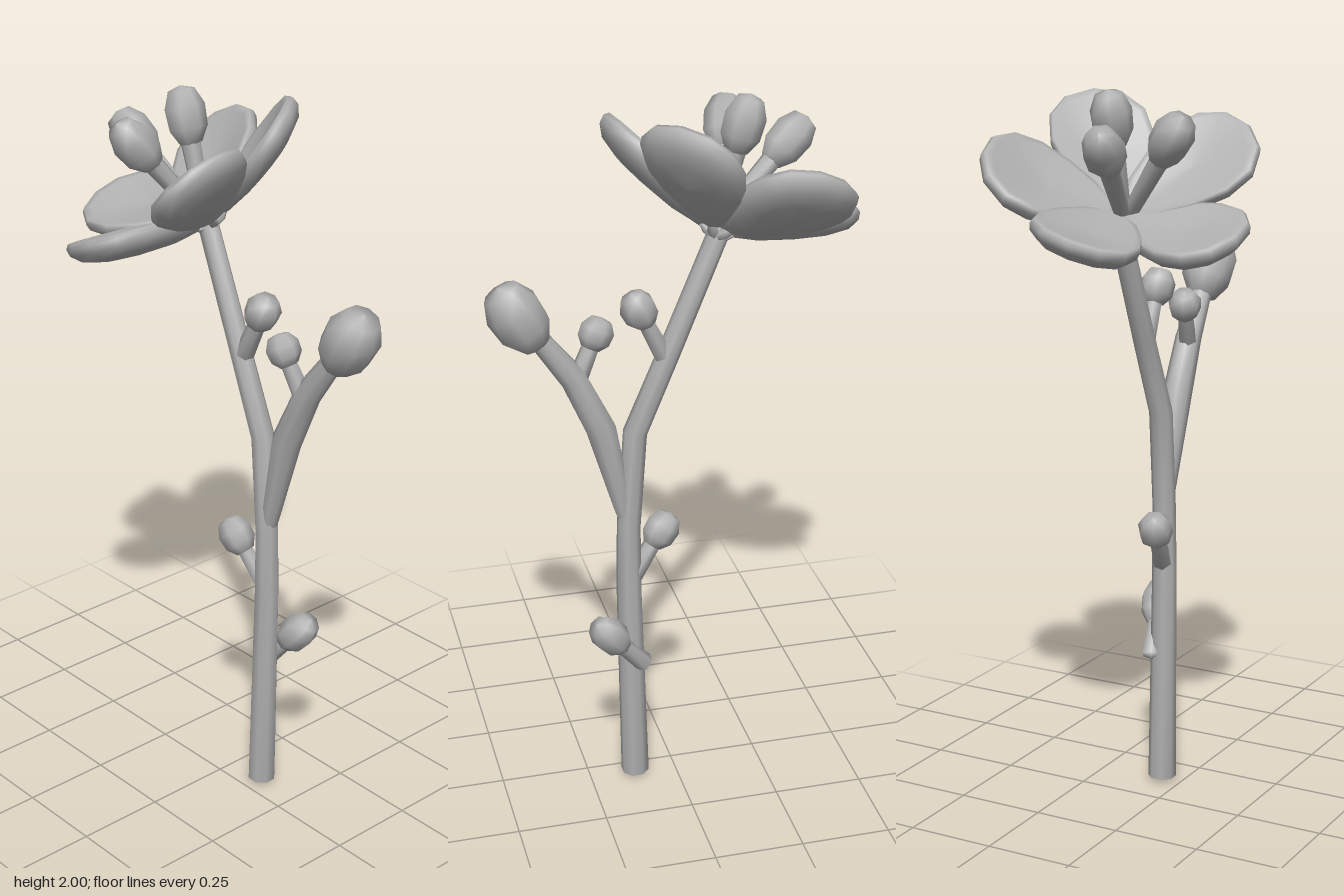
import * as THREE from 'three';

const V = (x, y, z) => new THREE.Vector3(x, y, z);

// Closed smooth surface from rows of points, each row wrapped around
function wrapRows(rows) {
  const n = rows[0].length, pos = [], idx = [];
  rows.forEach(r => r.forEach(p => pos.push(p.x, p.y, p.z)));
  for (let i = 0; i < rows.length - 1; i++) {
    for (let j = 0; j < n; j++) {
      const k = (j + 1) % n, a = i * n + j, b = i * n + k, c = a + n, d = b + n;
      idx.push(a, b, d, a, d, c);
    }
  }
  const g = new THREE.BufferGeometry();
  g.setAttribute('position', new THREE.Float32BufferAttribute(pos, 3));
  g.setIndex(idx);
  g.computeVertexNormals();
  return g;
}

// Round section carried along a bent path, with one radius per point
function loft(pts, radii, sides = 8) {
  const rows = pts.map((p, i) => {
    const t = pts[Math.min(i + 1, pts.length - 1)].clone().sub(pts[Math.max(i - 1, 0)]).normalize();
    const v = V(1, 0, 0).cross(t).normalize();
    const u = t.clone().cross(v);
    return Array.from({ length: sides }, (_, j) => {
      const a = (j + 0.5) / sides * Math.PI * 2;
      return p.clone().addScaledVector(u, -Math.cos(a) * radii[i]).addScaledVector(v, Math.sin(a) * radii[i]);
    });
  });
  return wrapRows(rows);
}

// Egg shaped head centred on c, stretched along dir
function egg(c, dir, half, r, sides = 8) {
  const d = dir.clone().normalize();
  const s = [-1, -0.9, -0.4, 0.3, 0.85, 1];
  const w = [0.001, 0.55, 0.95, 1, 0.66, 0.001];
  return loft(s.map(k => c.clone().addScaledVector(d, k * half)), w.map(k => k * r), sides);
}

// Broad petal: rounded rim, convex outside, nearly flat inside
function petal(base, dir, up) {
  const L = dir.length(), d = dir.clone().normalize();
  const n = up.clone().addScaledVector(d, -up.dot(d)).normalize();
  const s = d.clone().cross(n);
  const N = 14, W = 0.188;
  // [scale of the outline, height]
  const rings = [[0.001, -0.052], [0.5, -0.047], [0.82, -0.034], [0.97, -0.012],
    [1, 0.008], [0.96, 0.021], [0.85, 0.021], [0.5, 0.008], [0.001, 0.003]];
  return wrapRows(rings.map(([k, h]) => Array.from({ length: N }, (_, j) => {
    const a = j / N * Math.PI * 2, c = Math.cos(a);
    const along = L * (0.55 - 0.5 * c * k - 0.05 * k);
    const across = W * Math.sin(a) * (0.71 - 0.3 * c) * k;
    return base.clone().addScaledVector(d, along).addScaledVector(s, across).addScaledVector(n, h);
  })));
}

export function createModel() {
  const group = new THREE.Group();
  const grey = new THREE.MeshStandardMaterial({ color: 0xb0b0b0 });
  grey.name = 'plainGrey';
  const add = (name, geo) => {
    const m = new THREE.Mesh(geo, grey);
    m.name = name;
    group.add(m);
  };

  // Main stem, bending left up to the flower
  add('stem', loft(
    [V(0.12, 0, -0.055), V(0.12, 0.015, -0.055), V(0.133, 0.62, -0.055), V(0.132, 0.82, -0.055),
      V(0.112, 1.1, -0.055), V(0.02, 1.32, -0.057), V(-0.115, 1.65, -0.058), V(-0.125, 1.675, -0.058)],
    [0.001, 0.04, 0.035, 0.033, 0.033, 0.031, 0.029, 0.001]));

  // Side branch with the large closed bud
  add('branch', loft(
    [V(0.13, 0.78, -0.055), V(0.145, 0.87, -0.055), V(0.205, 1.12, -0.056), V(0.28, 1.28, -0.058), V(0.39, 1.43, -0.062)],
    [0.008, 0.026, 0.042, 0.037, 0.027]));
  add('largeBud', egg(V(0.42, 1.465, -0.064), V(0.5, 0.85, 0), 0.1, 0.075, 9));

  // Small buds: [stalk start, head centre, head half length, head radius]
  const buds = [
    [V(0.03, 1.31, -0.057), V(0.1, 1.453, -0.06), 0.053, 0.049],
    [V(0.275, 1.25, -0.055), V(0.21, 1.387, -0.033), 0.046, 0.047],
    [V(0.125, 0.655, -0.055), V(0.035, 0.78, -0.03), 0.055, 0.049],
    [V(0.09, 0.38, -0.075), V(0.2, 0.51, -0.112), 0.068, 0.05],
  ];
  buds.forEach(([from, to, half, r]) => {
    add('budStalk', loft([from, from.clone().lerp(to, 0.05), to], [0.001, 0.028, 0.022], 6));
    add('smallBud', egg(to, to.clone().sub(from), half, r, 7));
  });

  // Flower: five petals around a tilted cup
  const base = V(-0.115, 1.665, -0.058);
  const up = V(-0.42, 0.83, 0.365).normalize();
  [
    V(-0.385, -0.03, 0.072), V(-0.25, 0.17, -0.265), V(0.155, 0.315, -0.168),
    V(0.25, 0.225, 0.26), V(-0.085, -0.035, 0.39),
  ].forEach(dir => {
    add('petal', petal(base, dir, up));
    // Small sepal under each petal
    const d = dir.clone().normalize();
    const root = base.clone().addScaledVector(up, -0.03);
    add('sepal', loft([root, root.clone().addScaledVector(d, 0.03), root.clone().addScaledVector(d, 0.065)],
      [0.012, 0.016, 0.001], 5));
  });

  // Three stamens with long heads
  [V(-0.18, 1.925, -0.04), V(-0.32, 1.855, 0.018), V(-0.178, 1.88, 0.13)].forEach(tip => {
    const root = V(-0.105, 1.655, -0.045);
    add('stamenStalk', loft([root, root.clone().lerp(tip, 0.1), tip], [0.001, 0.022, 0.03], 6));
    add('stamenHead', egg(tip, tip.clone().sub(root), 0.08, 0.056, 7));
  });

  return group;
}
